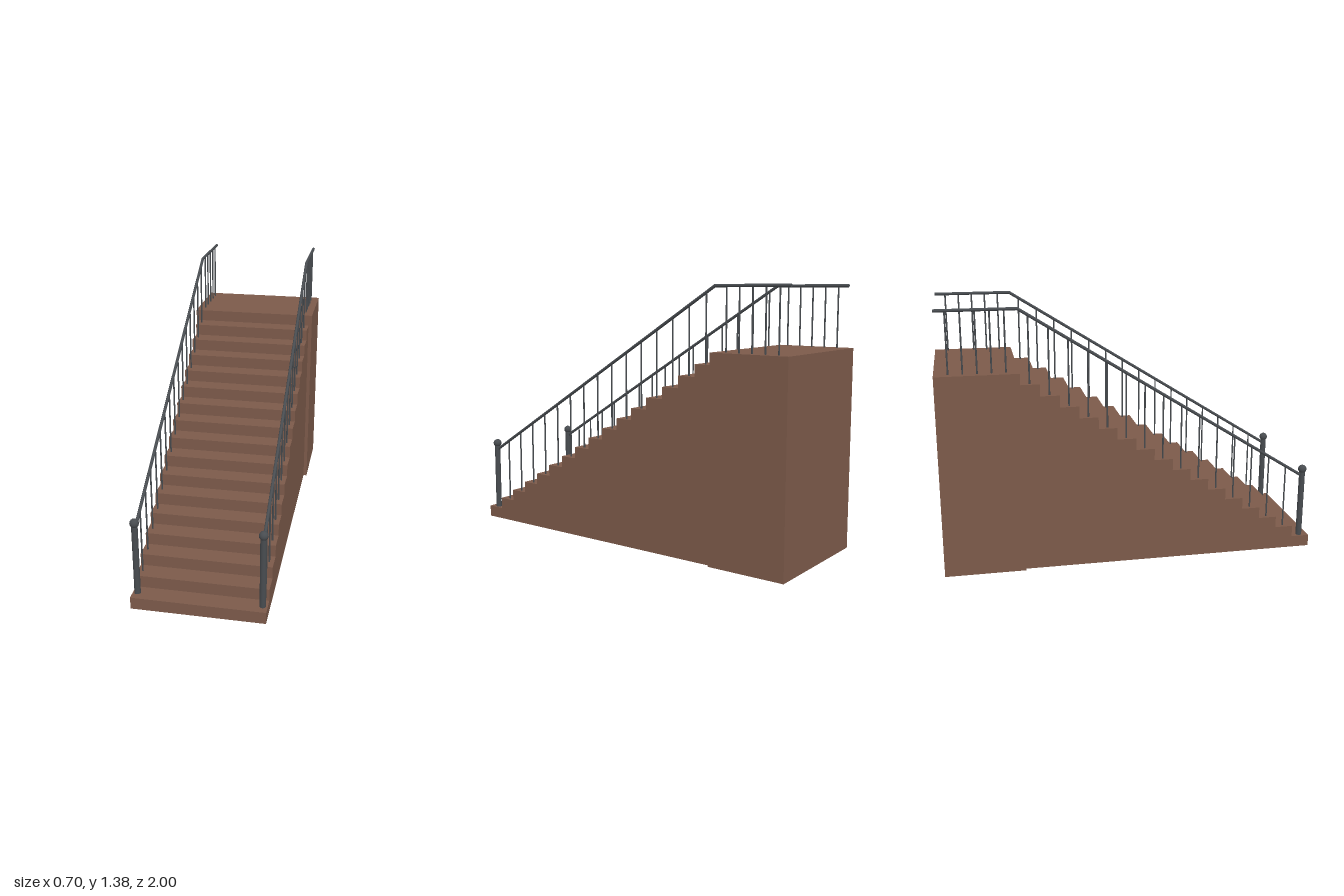
import * as THREE from 'three';

const STEPS = 16;
const LANDING_Z = -0.58;
const LANDING_Y = 1.06;
const RUN = (1 - LANDING_Z) / STEPS;
const RISE = LANDING_Y / (STEPS + 1);
const RAIL_X = 0.309;
const RAIL_Y = 1.376;

export function createModel() {
  const wood = new THREE.MeshStandardMaterial({ color: 0x7c5a4a });
  wood.name = 'brown wood';
  const metal = new THREE.MeshStandardMaterial({ color: 0x484c50 });
  metal.name = 'dark metal';

  const model = new THREE.Group();
  model.name = 'staircase';

  const add = (parent, name, geometry, material, x = 0, y = 0, z = 0) => {
    const mesh = new THREE.Mesh(geometry, material);
    mesh.name = name;
    mesh.position.set(x, y, z);
    parent.add(mesh);
    return mesh;
  };

  // Round bar between two points in the plane of a railing
  const bar = (parent, name, y0, z0, y1, z1, radius, sides) => {
    const a = new THREE.Vector3(0, y0, z0);
    const b = new THREE.Vector3(0, y1, z1);
    const dir = b.clone().sub(a);
    const geometry = new THREE.CylinderGeometry(radius, radius, dir.length(), sides);
    const mesh = add(parent, name, geometry, metal);
    mesh.position.copy(a).add(b).multiplyScalar(0.5);
    mesh.quaternion.setFromUnitVectors(new THREE.Vector3(0, 1, 0), dir.normalize());
  };

  // Solid flight: stepped side profile extruded across the width
  const profile = new THREE.Shape();
  profile.moveTo(LANDING_Z, 0);
  profile.lineTo(1, 0);
  for (let i = 0; i < STEPS; i++) {
    profile.lineTo(1 - i * RUN, (i + 1) * RISE);
    profile.lineTo(1 - (i + 1) * RUN, (i + 1) * RISE);
  }
  const width = 0.666;
  const flight = new THREE.ExtrudeGeometry(profile, { depth: width, bevelEnabled: false });
  flight.translate(0, 0, -width / 2).rotateY(-Math.PI / 2);
  add(model, 'steps', flight, wood);

  // Landing block, slightly wider than the flight
  const depth = LANDING_Z + 1;
  add(model, 'landing', new THREE.BoxGeometry(0.704, LANDING_Y, depth), wood,
    0, LANDING_Y / 2, LANDING_Z - depth / 2);

  // Height of the sloping handrail above a given z
  const railHeight = z => RAIL_Y - (z - LANDING_Z) * RISE / RUN;

  for (const [side, x] of [['left', RAIL_X], ['right', -RAIL_X]]) {
    const railing = new THREE.Group();
    railing.name = side + 'Railing';
    railing.position.x = x;
    model.add(railing);

    // Newel post with ball cap on the bottom step
    const postZ = 1 - RUN / 2;
    bar(railing, 'newelPost', RISE, postZ, 0.445, postZ, 0.016, 12);
    add(railing, 'newelBall', new THREE.SphereGeometry(0.023, 16, 12), metal, 0, 0.449, postZ);

    // Handrail: sloping run, rounded bend and level run
    bar(railing, 'slopedHandrail', railHeight(postZ), postZ, RAIL_Y, LANDING_Z, 0.008, 12);
    add(railing, 'handrailBend', new THREE.SphereGeometry(0.008, 12, 8), metal, 0, RAIL_Y, LANDING_Z);
    bar(railing, 'levelHandrail', RAIL_Y, LANDING_Z, RAIL_Y, -0.985, 0.008, 12);

    // One baluster on each remaining step
    for (let i = 1; i < STEPS; i++) {
      const z = postZ - i * RUN;
      bar(railing, 'stepBaluster', (i + 1) * RISE, z, railHeight(z), z, 0.0043, 8);
    }

    // Balusters along the landing
    for (let i = 0; i < 5; i++) {
      const z = -0.645 - i * 0.071;
      bar(railing, 'landingBaluster', LANDING_Y, z, RAIL_Y, z, 0.0043, 8);
    }
  }

  return model;
}
